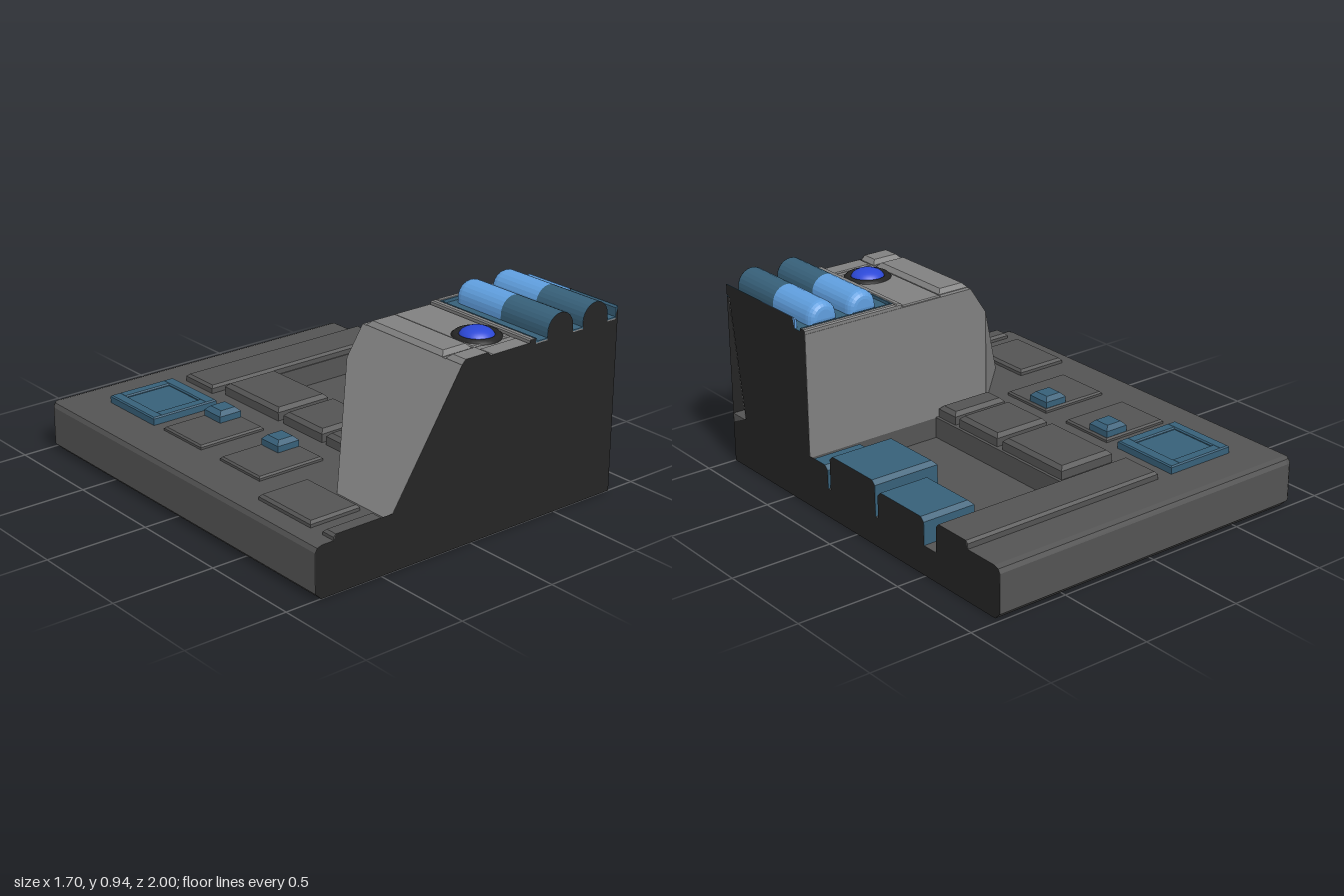
import * as THREE from 'three';

const material = (name, color) => {
  const m = new THREE.MeshStandardMaterial({ color });
  m.name = name;
  return m;
};

export function createModel() {
  const group = new THREE.Group();
  const hull = material('hull grey', 0x545454);
  const tower = material('tower grey', 0x808080);
  const dark = material('section black', 0x242424);
  const blue = material('slate blue', 0x376079);
  const sky = material('sky blue', 0x609fdf);
  const lens = material('lens blue', 0x2c48d6);
  dark.side = THREE.DoubleSide;

  const add = (name, geometry, mat) => {
    const mesh = new THREE.Mesh(geometry, mat);
    mesh.name = name;
    group.add(mesh);
    return mesh;
  };

  // Joins stacked [y, [[x, z], ...]] rings, counter-clockwise from above, into a closed solid
  const loft = (rings) => {
    const pos = [];
    const put = (y, p) => pos.push(p[0], y, p[1]);
    for (let k = 0; k + 1 < rings.length; k++) {
      const [y0, lo] = rings[k], [y1, hi] = rings[k + 1];
      lo.forEach((a, i) => {
        const j = (i + 1) % lo.length;
        put(y0, a); put(y0, lo[j]); put(y1, hi[j]);
        put(y0, a); put(y1, hi[j]); put(y1, hi[i]);
      });
    }
    const cap = ([y, ring], flip) => {
      const outline = ring.map((p) => new THREE.Vector2(p[0], -p[1]));
      for (const t of THREE.ShapeUtils.triangulateShape(outline, [])) {
        for (const i of flip ? [t[0], t[2], t[1]] : t) put(y, ring[i]);
      }
    };
    cap(rings[0], true);
    cap(rings[rings.length - 1], false);
    const g = new THREE.BufferGeometry();
    g.setAttribute('position', new THREE.Float32BufferAttribute(pos, 3));
    g.computeVertexNormals();
    return g;
  };

  // Block with bevelled top edges; edges on the cut planes stay square
  const panel = (name, x0, x1, z0, z1, y0, y1, mat, b = 0.012) => {
    const ring = (d) => {
      const r = x1 < 0.85 ? x1 - d : x1, f = z1 < 1 ? z1 - d : z1;
      return [[x0 + d, f], [r, f], [r, z0 + d], [x0 + d, z0 + d]];
    };
    return add(name, loft([[y0, ring(0)], [y1 - b, ring(0)], [y1, ring(b)]]), mat);
  };

  // Base slab with a rounded outer corner and a recess on the cut side
  const baseRing = (d, notch) => {
    const ring = [[-0.85 + d, 1], [0.85, 1]];
    if (notch) ring.push([0.85, 0.36], [0.14, 0.36], [0.14, -0.575], [0.85, -0.575]);
    ring.push([0.85, -1 + d]);
    for (let i = 0; i <= 4; i++) {
      const a = (i / 4) * Math.PI / 2, r = 0.045 - d;
      ring.push([-0.805 - r * Math.sin(a), -0.955 - r * Math.cos(a)]);
    }
    return ring;
  };
  add('baseLower', loft([[0.001, baseRing(0.03)], [0.03, baseRing(0)], [0.14, baseRing(0)]]), hull);
  add('baseUpper', loft([[0.14, baseRing(0, true)], [0.215, baseRing(0, true)],
    [0.235, baseRing(0.01, true)], [0.243, baseRing(0.035, true)]]), hull);
  add('underside', loft([[0, baseRing(0.03)], [0.001, baseRing(0.03)]]), dark);

  // Raised deck panels
  panel('backBar', -0.21, 0.85, -0.79, -0.58, 0.23, 0.28, hull);
  [[-0.53, -0.12], [-0.08, 0.2], [0.23, 0.355]].forEach(([a, b]) =>
    panel('centrePanel', -0.17, 0.125, a, b, 0.23, 0.302, hull, 0.018));
  [[0.5, 0.85], [0.93, 1]].forEach(([a, b]) =>
    panel('sidePanel', -0.755, -0.49, a, b, 0.23, 0.27, hull));
  [-0.36, 0.07].forEach((z) => {
    panel('switchPlate', -0.64, -0.29, z, z + 0.285, 0.23, 0.262, hull, 0.008);
    panel('switchBlock', -0.42, -0.3, z + 0.01, z + 0.13, 0.25, 0.312, blue, 0.02);
  });

  // Square hatch with a raised rim
  panel('hatchFloor', -0.62, -0.31, -0.77, -0.45, 0.23, 0.27, blue);
  [[-0.645, -0.59], [-0.35, -0.29]].forEach(([a, b]) =>
    panel('hatchRim', a, b, -0.79, -0.435, 0.23, 0.28, blue, 0.006));
  [[-0.79, -0.735], [-0.49, -0.435]].forEach(([a, b]) =>
    panel('hatchRim', -0.6, -0.34, a, b, 0.23, 0.28, blue, 0.006));

  // Machinery blocks in the recess
  [[0.58, -0.49, -0.16, 0.27], [0.51, -0.14, 0.2, 0.31], [0.58, 0.22, 0.345, 0.25]]
    .forEach(([x, a, b, y]) => panel('recessBlock', x, 0.85, a, b, 0.13, y, blue, 0.02));

  // Tower with sloped side, cut corner and a narrow gap by the section plane
  const towerRing = (x, xc, zc, zGap, xGap) =>
    [[x, 1], [xGap, 1], [0.85, zGap], [0.85, 0.36], [xc, 0.36], [x, zc]];
  add('tower', loft([
    [0.24, towerRing(-0.46, -0.16, 0.66, 0.89, 0.79)],
    [0.7, towerRing(-0.16, -0.16, 0.36, 0.96, 0.83)],
    [0.835, towerRing(-0.072, -0.072, 0.36, 0.98, 0.845)],
  ]), tower);

  // Tower top strips and plates
  [[0.385, 0.88], [0.9, 1]].forEach(([a, b]) =>
    panel('topStrip', -0.072, 0.093, a, b, 0.82, 0.858, tower, 0.02));
  [[0.365, 0.88], [0.915, 1]].forEach(([a, b]) =>
    panel('topPlate', 0.1, 0.315, a, b, 0.82, 0.842, tower, 0.005));

  // Canister tray
  panel('trayRimSide', 0.32, 0.352, 0.362, 1, 0.82, 0.856, tower, 0.006);
  panel('trayRimBack', 0.35, 0.85, 0.362, 0.392, 0.82, 0.856, tower, 0.006);
  panel('trayFloor', 0.352, 0.85, 0.392, 1, 0.83, 0.84, blue, 0.001);
  panel('trayLining', 0.352, 0.85, 0.392, 0.398, 0.83, 0.856, blue, 0.001);
  panel('trayLining', 0.352, 0.358, 0.392, 1, 0.83, 0.855, blue, 0.001);

  // Canisters: arched section, pale rounded end and slate body
  const dome = (cx) => {
    const pts = [[cx + 0.076, 0.83]];
    for (let i = 0; i <= 12; i++) {
      const a = (i / 12) * Math.PI;
      pts.push([cx + 0.076 * Math.cos(a), 0.864 + 0.076 * Math.sin(a)]);
    }
    pts.push([cx - 0.076, 0.83]);
    return pts;
  };
  const shapeOf = (pts) => new THREE.Shape(pts.map((p) => new THREE.Vector2(...p)));
  [0.497, 0.71].forEach((cx) => {
    const shape = shapeOf(dome(cx));
    const body = new THREE.ExtrudeGeometry(shape, { depth: 0.29, bevelEnabled: false });
    add('canisterBody', body.translate(0, 0, 0.71), blue);
    const end = new THREE.ExtrudeGeometry(shape, {
      depth: 0.26, bevelThickness: 0.04, bevelSize: 0.035, bevelOffset: -0.035, bevelSegments: 4,
    });
    add('canisterEnd', end.translate(0, 0, 0.45), sky);
  });
  panel('cutCanisterEnd', 0.838, 0.85, 0.44, 0.71, 0.83, 0.89, sky, 0.008);
  panel('cutCanisterBody', 0.838, 0.85, 0.71, 1, 0.83, 0.89, blue, 0.008);

  // Lens in a dark collar
  const collar = [[0, 0.82], [0.112, 0.82], [0.112, 0.842], [0.1, 0.853], [0.085, 0.853], [0.075, 0.845], [0, 0.845]];
  add('lensCollar', new THREE.LatheGeometry(collar.map((p) => new THREE.Vector2(...p)), 32), dark)
    .position.set(0.21, 0, 0.785);
  const ball = add('lens', new THREE.SphereGeometry(0.08, 32, 16), lens);
  ball.scale.y = 0.55;
  ball.position.set(0.21, 0.838, 0.785);

  // Dark faces on the two section planes
  const front = [[-0.82, 0], [0.85, 0], [0.85, 0.89], [0.838, 0.85], [0.838, 0.83],
    ...dome(0.71), ...dome(0.497), [0.352, 0.83], [0.35, 0.855], [0.32, 0.855], [0.315, 0.842],
    [0.1, 0.842], [0.093, 0.84], [0.073, 0.858], [-0.052, 0.858], [-0.072, 0.838], [-0.44, 0.27],
    [-0.743, 0.27], [-0.755, 0.243], [-0.815, 0.243], [-0.84, 0.235], [-0.85, 0.215], [-0.85, 0.03]];
  add('frontSection', new THREE.ShapeGeometry(shapeOf(front)).translate(0, 0, 1.001), dark);
  const side = [[1, 0], [-0.97, 0], [-1, 0.03], [-1, 0.215], [-0.99, 0.235], [-0.965, 0.243],
    [-0.79, 0.243], [-0.778, 0.28], [-0.592, 0.28], [-0.575, 0.26], [-0.575, 0.14],
    [-0.49, 0.14], [-0.49, 0.25], [-0.47, 0.27], [-0.18, 0.27], [-0.16, 0.25], [-0.16, 0.14],
    [-0.14, 0.14], [-0.14, 0.29], [-0.12, 0.31], [0.18, 0.31], [0.2, 0.29], [0.2, 0.14],
    [0.22, 0.14], [0.22, 0.23], [0.24, 0.25], [0.36, 0.25], [0.362, 0.85], [0.368, 0.856],
    [0.392, 0.856], [0.398, 0.84], [0.44, 0.84], [0.455, 0.89], [1, 0.89], [1, 0.84], [0.98, 0.83],
    [0.89, 0.25], [1, 0.2]];
  add('sideSection', new THREE.ShapeGeometry(shapeOf(side.map(([z, y]) => [-z, y])))
    .rotateY(Math.PI / 2).translate(0.851, 0, 0), dark);

  return group;
}
